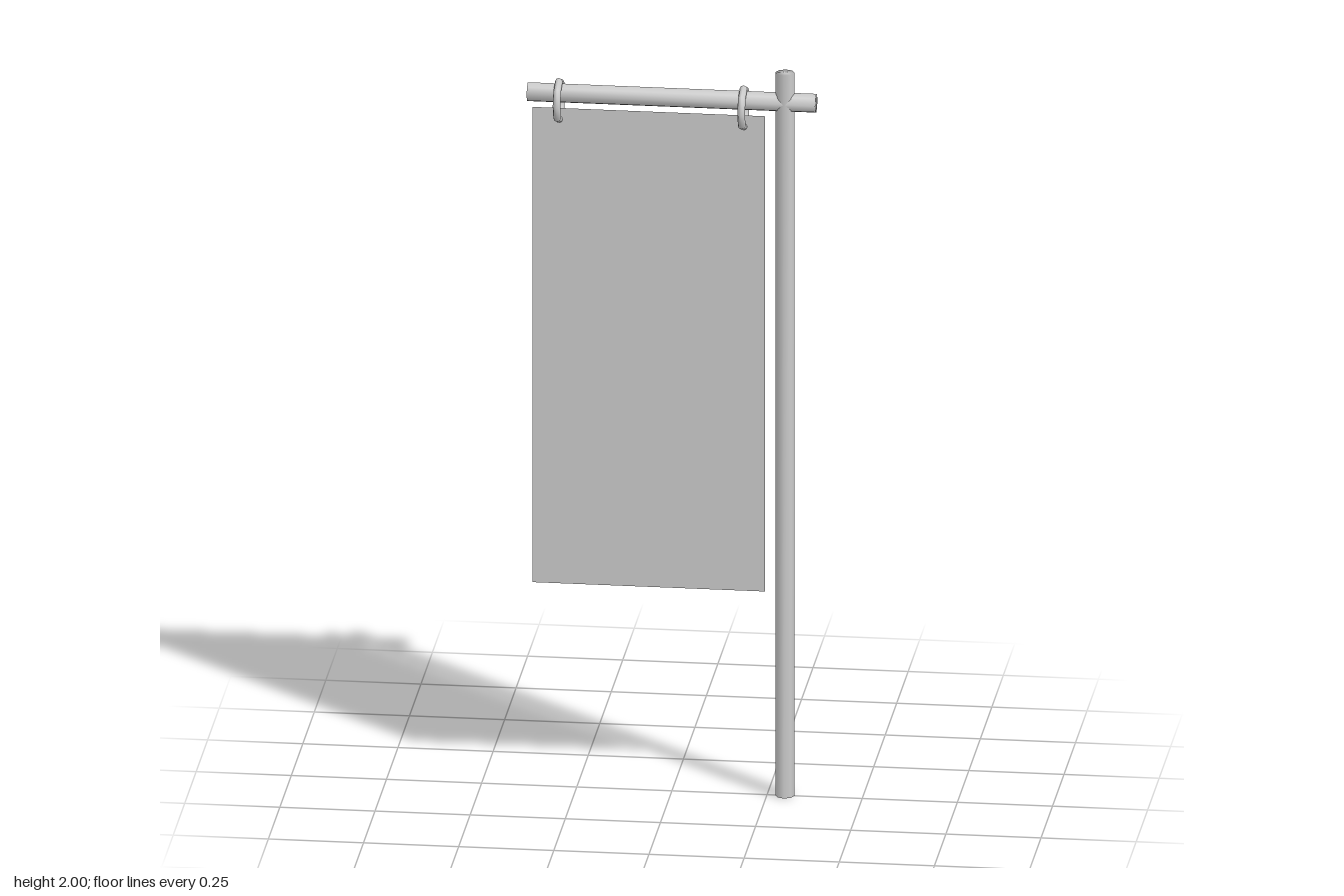
import * as THREE from 'three';
import { mergeVertices } from 'three/addons/utils/BufferGeometryUtils.js';

const grey = new THREE.MeshStandardMaterial({ color: 0xcccccc });
const cloth = new THREE.MeshStandardMaterial({ color: 0xcccccc, side: THREE.DoubleSide });

// Eight-sided rod, shaded smoothly over its end caps
function rod(radius, length) {
  let geometry = new THREE.CylinderGeometry(radius, radius, length, 8);
  geometry.deleteAttribute('normal');
  geometry.deleteAttribute('uv');
  geometry = mergeVertices(geometry);
  geometry.computeVertexNormals();
  return geometry;
}

export function createModel() {
  const model = new THREE.Group();
  model.name = 'hangingBanner';

  const add = (name, geometry, material, x, y, z = 0) => {
    const mesh = new THREE.Mesh(geometry, material);
    mesh.name = name;
    mesh.position.set(x, y, z);
    model.add(mesh);
    return mesh;
  };

  // Upright pole and the crossbar through it
  add('pole', rod(0.025, 2), grey, 0.297, 1);
  add('crossbar', rod(0.026, 0.758), grey, 0, 1.918, -0.002).rotation.z = Math.PI / 2;

  // Rings around the bar, holding the cloth
  const ring = new THREE.TorusGeometry(0.052, 0.01, 8, 8);
  for (const [name, x] of [['rightRing', -0.297], ['leftRing', 0.188]]) {
    add(name, ring, grey, x, 1.898).rotation.y = Math.PI / 2;
  }

  // Flat hanging cloth
  add('cloth', new THREE.PlaneGeometry(0.61, 1.315), cloth, -0.061, 1.2195);

  return model;
}
